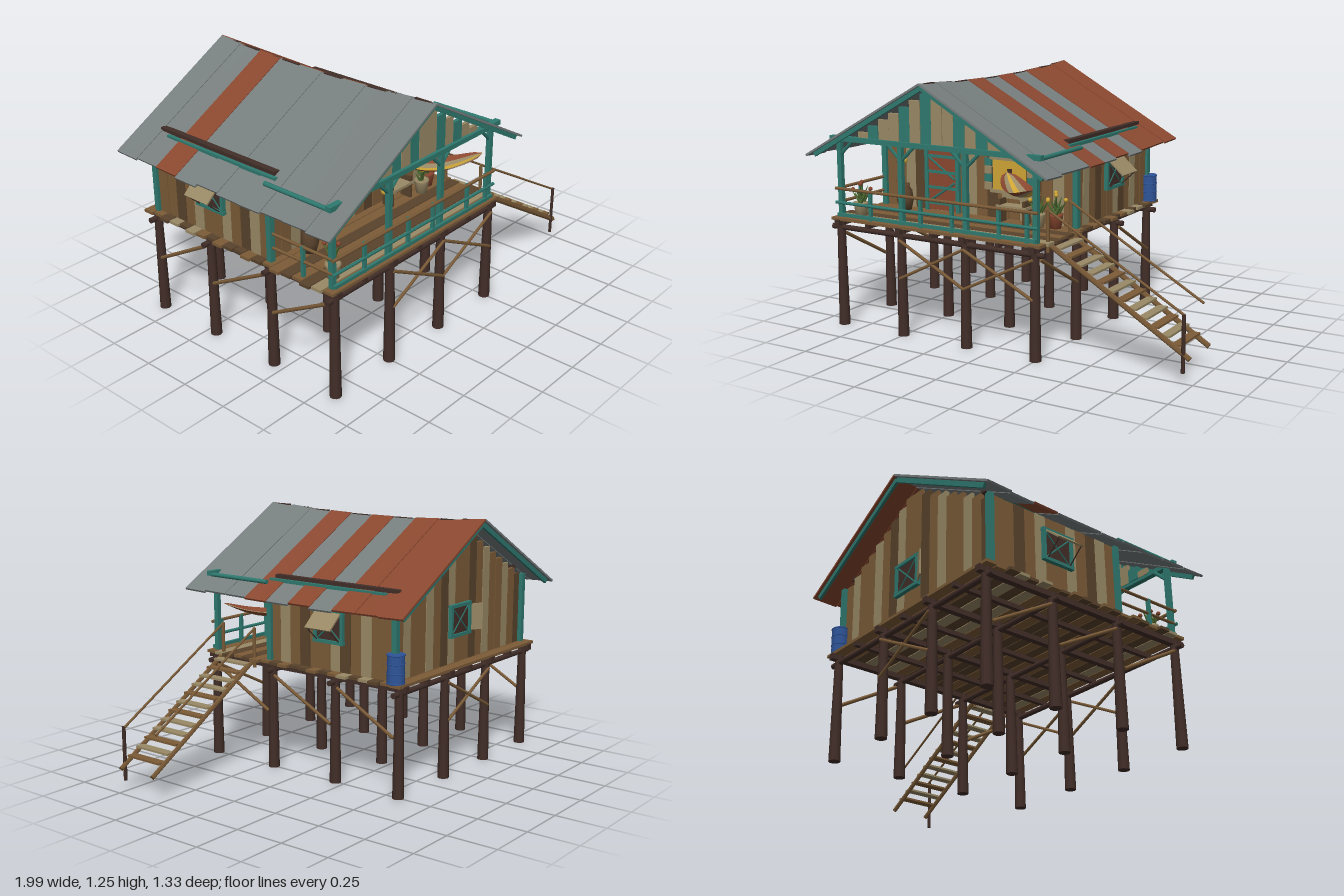
import * as THREE from 'three';

const mat = (name, color) => Object.assign(new THREE.MeshStandardMaterial({ color }), { name });
const M = {
  teal: mat('teal paint', 0x2f7a70), tan: mat('pale wood', 0x9a8a66), brown: mat('brown wood', 0x7c5c38),
  umber: mat('dark wood', 0x5a432c), log: mat('log', 0x422e28), grey: mat('tin', 0x777e7e),
  rust: mat('rust', 0x8a4830), blue: mat('blue drum', 0x2f559a), yellow: mat('yellow', 0xd0a636),
  green: mat('leaf', 0x4d6b32),
};
const RIDGE = -0.31, FLOOR = 0.55, COLS = [-0.87, -0.5, -0.13, 0.25], ROWS = [0.57, 0.19, -0.2, -0.57];
const SLOPE = 0.555;
const roofY = x => 1.245 - Math.abs(x - RIDGE) * SLOPE;
const sag = z => -0.025 * (1 - (z / 0.665) ** 2);

export function createModel() {
  const root = new THREE.Group();
  const add = (name, geo, m, x = 0, y = 0, z = 0, parent = root) => {
    const mesh = new THREE.Mesh(geo, m);
    mesh.name = name;
    mesh.position.set(x, y, z);
    parent.add(mesh);
    return mesh;
  };
  const box = (name, m, w, h, d, x, y, z, parent) => add(name, new THREE.BoxGeometry(w, h, d), m, x, y, z, parent);
  // Straight bar between two points, round or square
  const bar = (name, m, a, b, r = 0.01, sides = 6, parent = root) => {
    const p = new THREE.Vector3(...a), q = new THREE.Vector3(...b), d = q.clone().sub(p);
    const mesh = add(name, new THREE.CylinderGeometry(r, r, d.length(), sides), m, 0, 0, 0, parent);
    mesh.position.copy(p).add(q).multiplyScalar(0.5);
    mesh.quaternion.setFromUnitVectors(new THREE.Vector3(0, 1, 0), d.normalize());
    return mesh;
  };
  const group = name => { const g = new THREE.Group(); g.name = name; root.add(g); return g; };

  // Stilts, bearers and joists
  for (const x of COLS) for (const z of ROWS)
    add('stilt', new THREE.CylinderGeometry(0.02, 0.028, 0.54, 10), M.log, x, 0.27, z);
  for (const z of ROWS) bar('bearer', M.log, [-0.92, 0.5, z], [0.3, 0.5, z], 0.014, 8);
  for (const x of COLS) box('joist', M.log, 0.03, 0.03, 1.22, x, 0.526, -0.005);
  for (const x of [-0.69, -0.31, 0.06]) box('joist', M.log, 0.022, 0.022, 1.2, x, 0.526, -0.005);

  // Diagonal bracing
  for (let i = 1; i < 3; i++) for (const z of i === 2 ? [0.59] : [0.59, -0.59]) {
    bar('crossBrace', M.brown, [COLS[i], 0.48, z], [COLS[i + 1], 0.29, z], 0.008);
    bar('crossBrace', M.brown, [COLS[i], 0.29, z], [COLS[i + 1], 0.48, z], 0.008);
  }
  for (const x of [-0.885, 0.265]) for (let i = 0; i < 3; i++)
    bar('sideBrace', M.brown, [x, 0.475, ROWS[i] - 0.02], [x, 0.29, ROWS[i + 1] + 0.02], 0.009);

  // Floor boards
  const floorMats = [M.brown, M.umber, M.brown, M.tan, M.umber, M.brown, M.umber];
  for (let i = 0; i < 20; i++)
    box('floorBoard', floorMats[(i * 3 + (i >> 2)) % 7], 1.2 + 0.02 * (i % 3), 0.014, 0.056, -0.31, 0.544, 0.57 - i * 0.0605);

  // Plank walls; gable planks step down with the roof
  const wood = [M.brown, M.tan, M.brown, M.umber, M.brown, M.brown, M.tan, M.umber, M.brown, M.tan, M.brown];
  const gableWall = (name, z, y0, n, mats, shift) => {
    const w = 1.12 / n;
    for (let i = 0; i < n; i++) {
      const x = RIDGE - 0.56 + (i + 0.5) * w;
      const top = roofY(RIDGE + Math.abs(x - RIDGE) + w / 2) + sag(z) - 0.012;
      if (top > y0 + 0.01)
        box(name, mats[(i + shift) % mats.length], w - 0.002, top - y0, 0.016 + 0.004 * (i % 2), x, (top + y0) / 2, z);
    }
  };
  gableWall('frontWallPlank', 0.19, FLOOR, 18, wood, 4);
  gableWall('backWallPlank', -0.535, FLOOR, 18, wood, 7);
  gableWall('porchGablePlank', 0.565, 0.95, 18, [M.teal, M.tan, M.tan, M.teal, M.tan], 2);
  for (const s of [-1, 1]) for (let i = 0; i < 12; i++)
    box('sideWallPlank', wood[(i + (s > 0 ? 0 : 5)) % 11], 0.016 + 0.004 * (i % 2), 0.36, 0.059, RIDGE + s * 0.555, 0.73, 0.165 - i * 0.061);
  for (const s of [-1, 1]) for (const z of [0.2, -0.55])
    box('cornerPost', M.teal, 0.028, 0.36, 0.028, RIDGE + s * 0.565, 0.73, z);

  // Roof sheets, sagging along the ridge
  const L = 0.69, ang = Math.atan(SLOPE), W = 0.133;
  for (const s of [-1, 1]) for (let i = 0; i < 10; i++) {
    const zc = 0.665 - (i + 0.5) * W, lenX = L - (s > 0 ? 0.012 : 0) - 0.005 * (i % 3);
    const g = new THREE.BoxGeometry(lenX / Math.cos(ang), 0.01, W, 1, 1, 4);
    g.rotateZ(-s * ang);
    g.translate(RIDGE + s * lenX / 2, roofY(RIDGE + lenX / 2) + 0.004 * (i % 2), zc);
    const p = g.attributes.position;
    for (let k = 0; k < p.count; k++) {
      const fall = 1 - 0.6 * Math.abs(p.getX(k) - RIDGE) / L;
      p.setY(k, p.getY(k) + sag(p.getZ(k)) * fall);
    }
    g.computeVertexNormals();
    const rusty = s > 0 ? [3, 5, 7, 8, 9].includes(i) : i === 7;
    add('roofSheet', g, rusty ? M.rust : M.grey);
  }
  for (let i = 0; i < 10; i++)
    box('ridgeSeam', M.log, 0.012, 0.008, 0.11, RIDGE, 1.247 + sag(0.6 - W * i), 0.6 - W * i);

  // Rake boards and plates under the eaves
  for (const s of [-1, 1]) {
    for (const z of [0.645, -0.645]) {
      const b = box('rakeBoard', M.teal, 0.74, 0.024, 0.014, RIDGE + s * 0.325, roofY(RIDGE + 0.325) - 0.017, z);
      b.rotation.z = -s * ang;
    }
    box('wallPlate', M.log, 0.03, 0.025, 0.74, RIDGE + s * 0.51, 0.957, -0.17);
    box('tealPlate', M.teal, 0.018, 0.02, 0.7, RIDGE + s * 0.535, 0.942, -0.13);
    bar('porchPlate', M.teal, [RIDGE + s * 0.588, 0.94, 0.57], [RIDGE + s * 0.588, 0.94, 0.2], 0.011, 8);
  }

  // Porch frame
  box('porchBeam', M.teal, 1.2, 0.024, 0.03, RIDGE, 0.945, 0.575);
  for (const x of COLS) {
    const edge = x === COLS[0] || x === COLS[3];
    box('porchPost', M.teal, 0.024, 0.39, 0.024, x, 0.745, 0.56);
    for (const s of [-1, 1]) if (!edge || s * (RIDGE - x) > 0)
      bar('kneeBrace', M.teal, [x, 0.86, 0.56], [x + s * 0.08, 0.935, 0.56], 0.009, 4);
  }
  // Railings
  for (const x of [-0.68, -0.38, -0.2, 0.06, 0.21]) box('railPost', M.teal, 0.016, 0.15, 0.016, x, 0.625, 0.575);
  for (const y of [0.625, 0.695]) {
    bar('frontRail', y > 0.65 ? M.brown : M.teal, [-0.89, y, 0.58], [0.27, y, 0.58], 0.008);
    bar('sideRail', M.brown, [-0.88, y, 0.57], [-0.88, y, 0.22], 0.008);
  }
  box('bottomRail', M.teal, 1.14, 0.016, 0.014, RIDGE, 0.565, 0.58);
  box('railPost', M.teal, 0.016, 0.15, 0.016, -0.88, 0.625, 0.4);

  // Stairs
  const stairs = group('stairs');
  for (const z of [0.29, 0.5]) {
    bar('stringer', M.brown, [0.28, 0.54, z], [0.985, 0.115, z], 0.014, 4, stairs);
    bar('handrail', M.brown, [0.27, 0.7, z], [0.955, 0.31, z], 0.006, 6, stairs);
    bar('newel', M.brown, [0.275, 0.5, z], [0.275, 0.7, z], 0.009, 6, stairs);
  }
  bar('footPost', M.log, [0.955, 0.05, 0.505], [0.955, 0.315, 0.505], 0.009, 6, stairs);
  for (let i = 0; i < 12; i++)
    box('tread', [M.tan, M.brown, M.tan, M.tan, M.brown][i % 5], 0.045, 0.01, 0.21, 0.325 + i * 0.054, 0.525 - i * 0.0325, 0.395, stairs);

  // Window built facing +z, then turned onto its wall
  const windowAt = (x, y, z, turn) => {
    const g = group('window');
    box('opening', M.log, 0.16, 0.14, 0.008, 0, 0, 0, g);
    for (const s of [-1, 1]) {
      box('frameSide', M.teal, 0.016, 0.16, 0.02, s * 0.08, 0, 0.004, g);
      box('frameRail', M.teal, 0.18, 0.016, 0.022, 0, s * 0.073, 0.004, g);
      bar('bar', M.teal, [-s * 0.07, -0.065, 0.006], [s * 0.07, 0.065, 0.006], 0.004, 4, g);
    }
    g.position.set(x, y, z);
    g.rotation.y = turn;
    return g;
  };
  for (const s of [-1, 1]) {
    const g = windowAt(RIDGE + s * 0.569, 0.765, -0.17, s * Math.PI / 2);
    const a = box('awning', M.tan, 0.15, 0.008, 0.11, 0, 0.035, 0.05, g);
    a.rotation.x = 0.72;
    for (const t of [-1, 1]) bar('awningProp', M.log, [t * 0.065, -0.07, 0.01], [t * 0.065, 0, 0.088], 0.003, 5, g);
  }
  const backWin = windowAt(-0.28, 0.76, -0.549, Math.PI);
  const shutter = box('shutter', M.tan, 0.075, 0.13, 0.008, 0.115, 0, 0.022, backWin);
  shutter.rotation.y = -0.5;

  // Front door
  const door = group('door');
  door.position.set(-0.51, 0, 0.205);
  box('doorPanel', M.rust, 0.17, 0.31, 0.01, 0, 0.71, 0, door);
  for (const s of [-1, 1]) box('jamb', M.teal, 0.02, 0.33, 0.022, s * 0.094, 0.715, 0.003, door);
  box('lintel', M.teal, 0.23, 0.02, 0.024, 0, 0.877, 0.003, door);
  for (let i = 0; i < 4; i++) box('ledge', M.teal, 0.165, 0.014, 0.008, 0, 0.59 + i * 0.08, 0.008, door);
  bar('brace', M.teal, [-0.075, 0.6, 0.009], [0.075, 0.7, 0.009], 0.006, 4, door);
  bar('brace', M.teal, [0.075, 0.72, 0.009], [-0.075, 0.82, 0.009], 0.006, 4, door);
  add('lamp', new THREE.SphereGeometry(0.016, 10, 8), M.yellow, -0.5, 0.86, 0.535);

  // Front window with curtains
  const fw = group('frontWindow');
  fw.position.set(-0.11, 0.77, 0.205);
  box('glass', M.log, 0.2, 0.16, 0.008, 0, 0, 0, fw);
  for (const s of [-1, 1]) {
    box('curtain', M.yellow, 0.08, 0.15, 0.008, s * 0.055, 0, 0.004, fw);
    box('frame', M.tan, 0.22, 0.016, 0.02, 0, s * 0.082, 0.004, fw);
    for (let i = 0; i < 4; i++) box('shutterSlat', i % 2 ? M.teal : M.tan, 0.04, 0.036, 0.014, s * 0.122, -0.06 + i * 0.04, 0.006, fw);
  }
  box('valance', M.yellow, 0.19, 0.04, 0.008, 0, 0.055, 0.008, fw);
  box('bench', M.tan, 0.17, 0.014, 0.07, -0.06, 0.63, 0.25);
  box('benchBack', M.tan, 0.17, 0.03, 0.01, -0.06, 0.675, 0.22);
  for (const s of [-1, 1]) box('benchLeg', M.umber, 0.014, 0.12, 0.06, -0.06 + s * 0.07, 0.605, 0.25);

  // Hammock: striped sagging cloth between post and wall
  const A = new THREE.Vector3(0.23, 0.79, 0.54), B = new THREE.Vector3(-0.12, 0.79, 0.22);
  const dir = B.clone().sub(A), across = new THREE.Vector3(dir.z, 0, -dir.x).normalize();
  [M.rust, M.tan, M.yellow, M.tan, M.rust].forEach((m, i) => {
    const g = new THREE.PlaneGeometry(1, 1, 14, 1), p = g.attributes.position;
    for (let k = 0; k < p.count; k++) {
      const t = p.getX(k) + 0.5, v = (i + p.getY(k) + 0.5) / 2.5 - 1, bow = Math.sin(Math.PI * t);
      const q = A.clone().addScaledVector(dir, t).addScaledVector(across, v * 0.075 * Math.sqrt(Math.max(bow, 0)));
      p.setXYZ(k, q.x, q.y - bow * (0.075 - 0.03 * v * v), q.z);
    }
    g.computeVertexNormals();
    m = m.clone(); m.side = THREE.DoubleSide;
    add('hammockStripe', g, m);
  });

  // Potted plants, jar and drum
  const potGeo = new THREE.LatheGeometry([[0, 0], [0.027, 0], [0.036, 0.06], [0.038, 0.07], [0.03, 0.07], [0, 0.062]].map(p => new THREE.Vector2(...p)), 12);
  const plant = (x, z, pot, bloom) => {
    add('pot', potGeo, pot, x, FLOOR, z);
    for (let i = 0; i < 8; i++) {
      const a = i * 2.4, r = 0.025 + 0.012 * (i % 3), h = 0.66 + 0.014 * (i % 4);
      const leaf = add('leaf', new THREE.ConeGeometry(0.011, 0.07, 4), M.green, x + Math.cos(a) * r * 0.7, h - 0.02, z + Math.sin(a) * r * 0.7);
      leaf.rotation.set(Math.sin(a) * 0.6, 0, -Math.cos(a) * 0.6);
      if (i % 2) add('flower', new THREE.SphereGeometry(0.011, 7, 5), bloom, x + Math.cos(a) * r, h + 0.012, z + Math.sin(a) * r);
    }
  };
  plant(-0.8, 0.5, M.tan, M.rust);
  plant(0.09, 0.28, M.tan, M.yellow);
  plant(0.17, 0.25, M.rust, M.yellow);
  add('jar', new THREE.LatheGeometry([[0, 0], [0.03, 0], [0.042, 0.05], [0.036, 0.1], [0.022, 0.12], [0.026, 0.135], [0, 0.135]].map(p => new THREE.Vector2(...p)), 14), M.umber, -0.7, FLOOR, 0.27);
  add('drum', new THREE.CylinderGeometry(0.042, 0.042, 0.14, 16), M.blue, 0.265, 0.62, -0.56);
  for (const y of [0.555, 0.6, 0.645, 0.686]) {
    const hoop = add('drumHoop', new THREE.TorusGeometry(0.042, 0.003, 5, 18), M.blue, 0.265, y, -0.56);
    hoop.rotation.x = Math.PI / 2;
  }
  return root;
}
